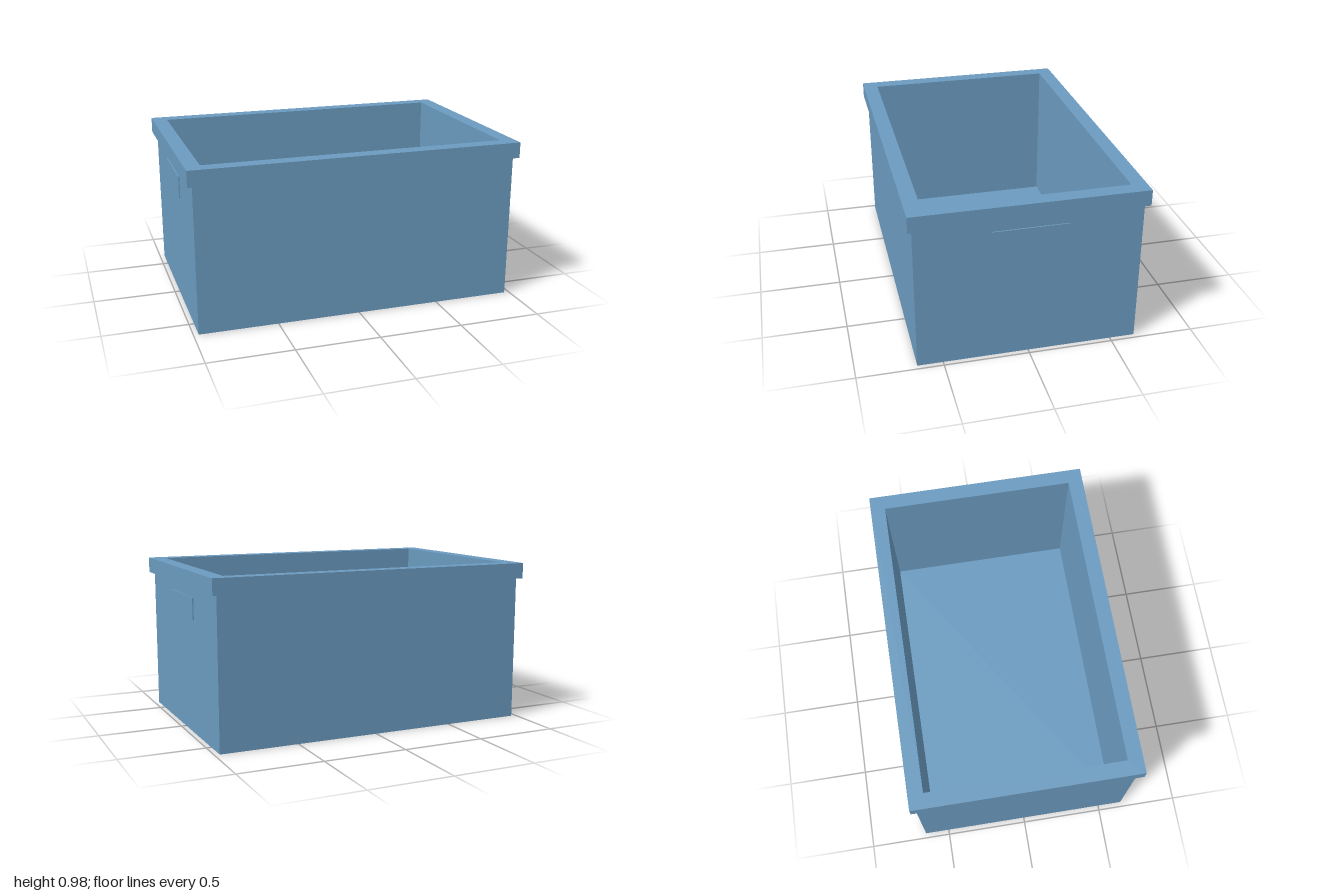
import * as THREE from 'three';

// Rectangular ring standing from y0 to y1
function ring(halfX, halfZ, innerX, innerZ, y0, y1) {
  const rect = (Type, x, z) => new Type([
    new THREE.Vector2(-x, -z), new THREE.Vector2(x, -z),
    new THREE.Vector2(x, z), new THREE.Vector2(-x, z),
  ]);
  const shape = rect(THREE.Shape, halfX, halfZ);
  shape.holes.push(rect(THREE.Path, innerX, innerZ));
  const geometry = new THREE.ExtrudeGeometry(shape, { depth: y1 - y0, bevelEnabled: false });
  return geometry.rotateX(-Math.PI / 2).translate(0, y0, 0);
}

export function createModel() {
  const group = new THREE.Group();
  const blue = new THREE.MeshStandardMaterial({ color: 0x6b9bc0 });
  blue.name = 'blue plastic';

  const add = (name, geometry) => {
    const mesh = new THREE.Mesh(geometry, blue);
    mesh.name = name;
    group.add(mesh);
  };

  const innerX = 0.91, innerZ = 0.585, floorHeight = 0.06;

  // Open container with an overhanging rim
  add('walls', ring(0.97, 0.65, innerX, innerZ, 0, 0.88));
  add('rim', ring(1, 0.675, innerX, innerZ, 0.88, 0.975));
  add('floor', new THREE.BoxGeometry(innerX * 2, floorHeight, innerZ * 2)
    .translate(0, floorHeight / 2, 0));

  // Thin grip plates on both ends
  for (const [name, side] of [['leftGrip', 1], ['rightGrip', -1]]) {
    add(name, new THREE.BoxGeometry(0.007, 0.13, 0.44).translate(side * 0.9735, 0.75, 0));
  }
  return group;
}
